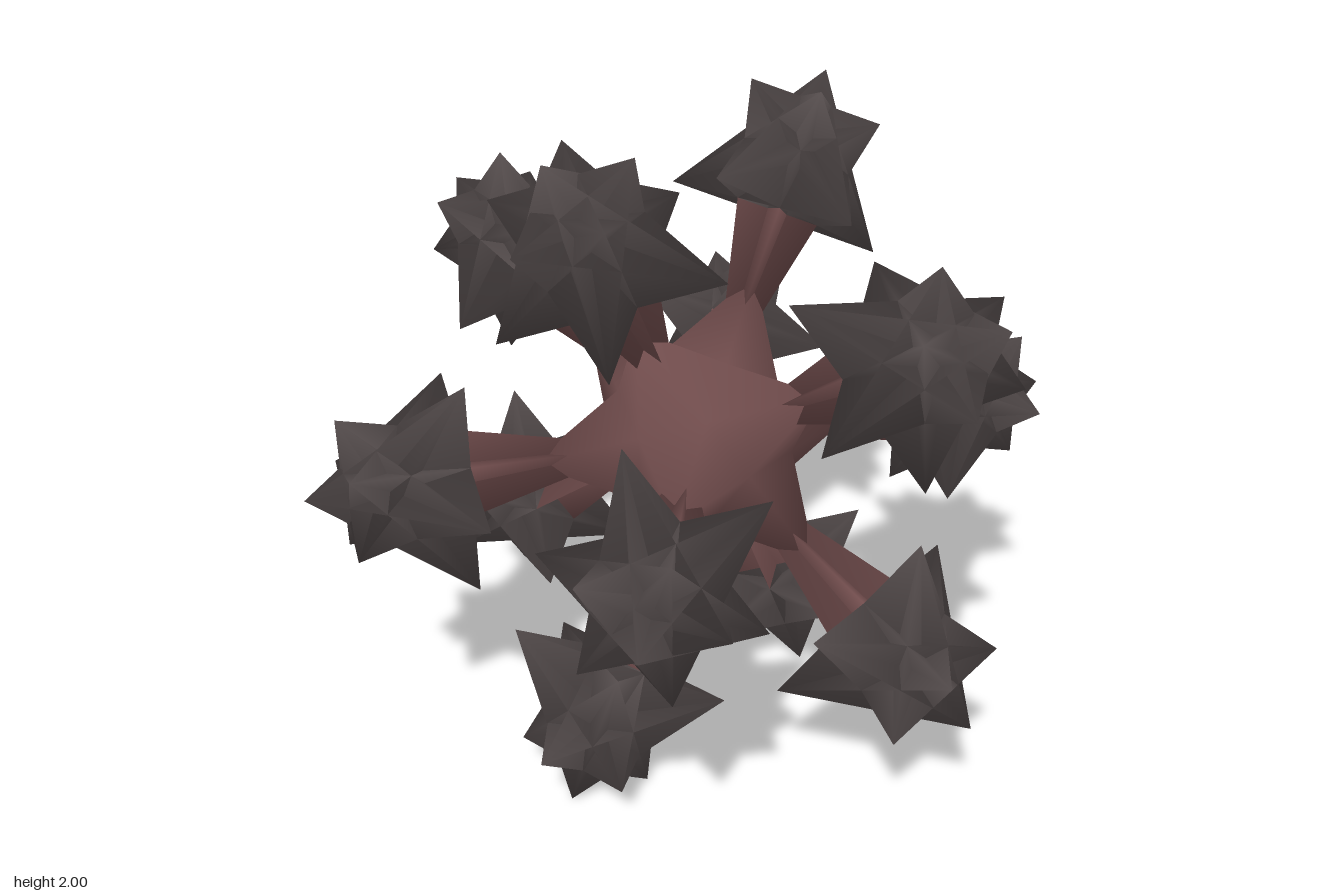
import * as THREE from 'three';
import { mergeVertices } from 'three/addons/utils/BufferGeometryUtils.js';

const darkGrey = new THREE.MeshStandardMaterial({ color: 0x524a4a });
darkGrey.name = 'dark grey';
const dullRed = new THREE.MeshStandardMaterial({ color: 0x704c4c });
dullRed.name = 'dull red';

// Five points around the local z axis at a given height
function ring(radius, height, degrees) {
  return Array.from({ length: 5 }, (_, k) => {
    const a = THREE.MathUtils.degToRad(degrees + 72 * k);
    return new THREE.Vector3(radius * Math.cos(a), radius * Math.sin(a), height);
  });
}

// Smooth geometry from a list of triangle corners, welded where they meet
function smoothGeometry(corners) {
  const raw = new THREE.BufferGeometry().setFromPoints(corners);
  const geometry = mergeVertices(raw, 1e-3);
  geometry.computeVertexNormals();
  return geometry;
}

// The twelve corner directions of an icosahedron, each with its own frame
function cornerFrames() {
  const s = 0.52573, l = 0.85065, frames = [];
  for (let turn = 0; turn < 3; turn++) {
    for (const sx of [1, -1]) for (const sy of [1, -1]) {
      const cycle = ([x, y, z]) => new THREE.Vector3(
        ...[[x, y, z], [z, x, y], [y, z, x]][turn]);
      const axis = cycle([sx * s, sy * l, 0]);
      const side = cycle([-sx * l, sy * s, 0]);
      const across = axis.clone().cross(side);
      frames.push(new THREE.Matrix4().makeBasis(side, across, axis));
    }
  }
  return frames;
}

// Where each arm enters its star head
const collar = ring(0.1326, 0.718, 36);

// Star head: large crossing triangles between a tip and two pentagram rings
function starHeadGeometry() {
  const tip = new THREE.Vector3(0, 0, 1.1755);
  const outer = ring(0.214, 1.061, 36);
  const inner = ring(0.347, 0.718, 0);
  const corners = [];
  for (let k = 0; k < 5; k++) {
    const n = (k + 2) % 5;
    corners.push(
      // pyramid from the tip to the wide ring
      tip, inner[k], inner[n],
      // crossing belt between the rings
      inner[n], inner[k], outer[(k + 3) % 5],
      outer[n], inner[(k + 4) % 5], outer[k],
      // ridges running down to the arm
      collar[k], collar[n], outer[n],
      collar[k], outer[n], outer[k]);
  }
  return smoothGeometry(corners);
}

// Arm: a star-shaped spike that widens outward
function armGeometry() {
  const apex = new THREE.Vector3(0, 0, 0.16);
  const corners = [];
  for (let k = 0; k < 5; k++) corners.push(apex, collar[(k + 2) % 5], collar[k]);
  return smoothGeometry(corners);
}

// Core: twelve five-sided spikes whose rims meet
function coreGeometry(frames) {
  const rim = ring(0.179, 0.234, 36);
  const point = new THREE.Vector3(0, 0, 0.523);
  const corners = [];
  for (const frame of frames) {
    for (let k = 0; k < 5; k++) {
      for (const p of [rim[k], rim[(k + 1) % 5], point]) {
        corners.push(p.clone().applyMatrix4(frame));
      }
    }
  }
  return smoothGeometry(corners);
}

export function createModel() {
  const model = new THREE.Group();
  model.name = 'spikedCluster';
  const frames = cornerFrames();

  const core = new THREE.Mesh(coreGeometry(frames), dullRed);
  core.name = 'core';
  core.position.y = 1;
  model.add(core);

  const headGeometry = starHeadGeometry();
  const legGeometry = armGeometry();
  frames.forEach((frame, i) => {
    const branch = new THREE.Group();
    branch.name = `branch${i + 1}`;
    const head = new THREE.Mesh(headGeometry, darkGrey);
    head.name = 'starHead';
    const arm = new THREE.Mesh(legGeometry, dullRed);
    arm.name = 'arm';
    branch.add(head, arm);
    branch.quaternion.setFromRotationMatrix(frame);
    branch.position.y = 1;
    model.add(branch);
  });
  return model;
}
